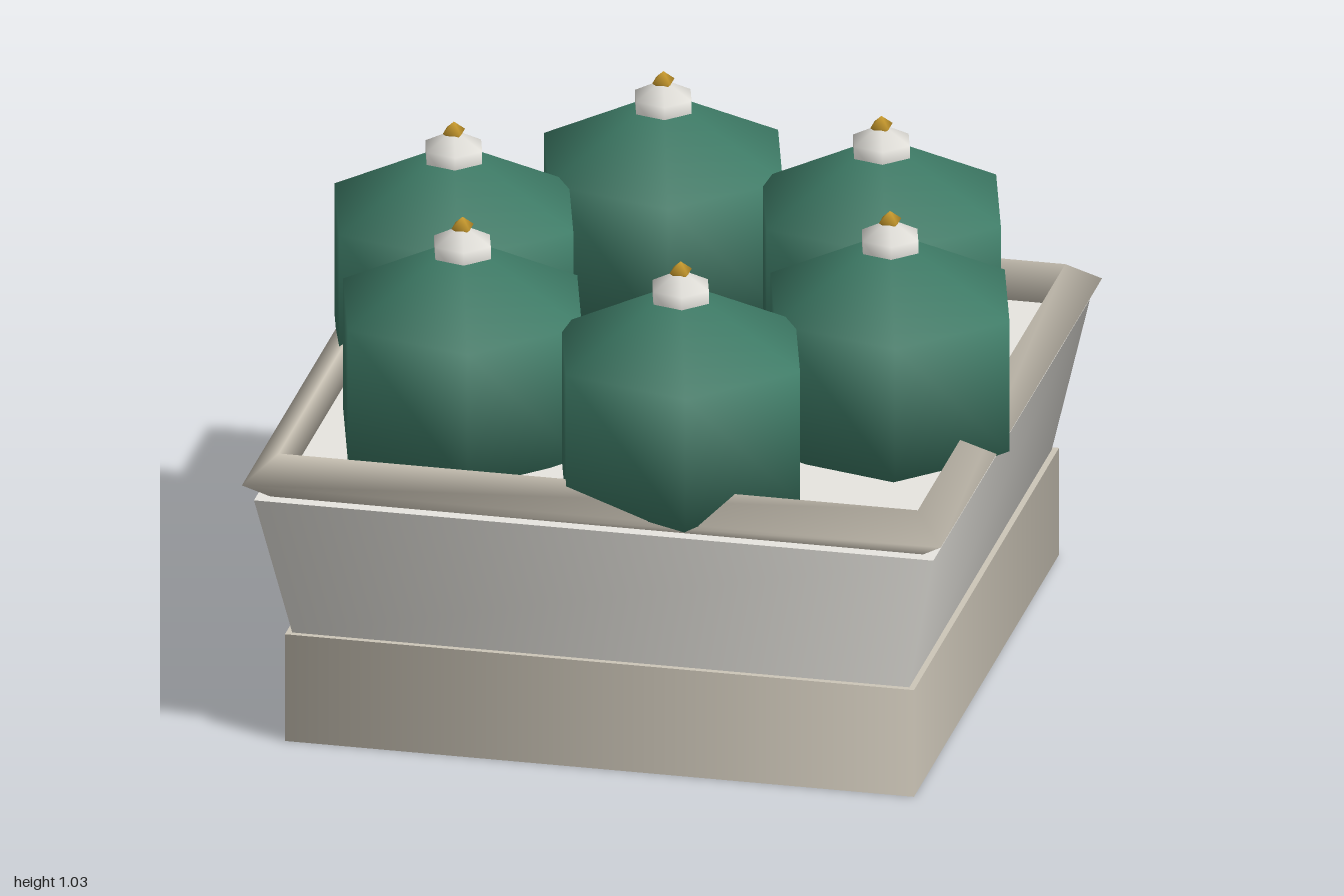
import * as THREE from 'three';

const paint = (color) => new THREE.MeshStandardMaterial({ color });

function addMesh(parent, name, geometry, material, y) {
  const mesh = new THREE.Mesh(geometry, material);
  mesh.name = name;
  mesh.position.y = y;
  parent.add(mesh);
  return mesh;
}

export function createModel() {
  const model = new THREE.Group();
  model.name = 'ornamentBox';
  const stone = paint(0xcdc6b8);
  const cream = paint(0xe8e6e0);
  const green = paint(0x3f7d68);
  const silver = paint(0xe4e2dc);
  const gold = paint(0xd0a030);

  // Four-sided box with corners on the axes: plinth, flared tray, triangular rim
  addMesh(model, 'base', new THREE.CylinderGeometry(0.9, 0.9, 0.228, 4), stone, 0.114);
  addMesh(model, 'tray', new THREE.CylinderGeometry(0.972, 0.883, 0.302, 4), cream, 0.379);
  const rimGeometry = new THREE.TorusGeometry(0.943, 0.057, 3, 4).rotateX(Math.PI / 2);
  addMesh(model, 'rim', rimGeometry, stone, 0.568);

  // Ring of six faceted baubles, each with a cap and a small gold tip
  const baubleGeometry = new THREE.SphereGeometry(0.308, 6, 3).scale(1, 0.9, 1);
  const capGeometry = new THREE.SphereGeometry(0.073, 6, 3).scale(1, 0.95, 1);
  const tipGeometry = new THREE.SphereGeometry(0.026, 4, 2).scale(1, 0.8, 1);
  for (let i = 0; i < 6; i++) {
    const angle = (i * Math.PI) / 3;
    const ornament = new THREE.Group();
    ornament.name = 'ornament' + (i + 1);
    ornament.position.set(0.487 * Math.cos(angle), 0, 0.487 * Math.sin(angle));
    addMesh(ornament, 'bauble', baubleGeometry, green, 0.706);
    addMesh(ornament, 'cap', capGeometry, silver, 0.942);
    addMesh(ornament, 'tip', tipGeometry, gold, 1.008);
    model.add(ornament);
  }
  return model;
}
